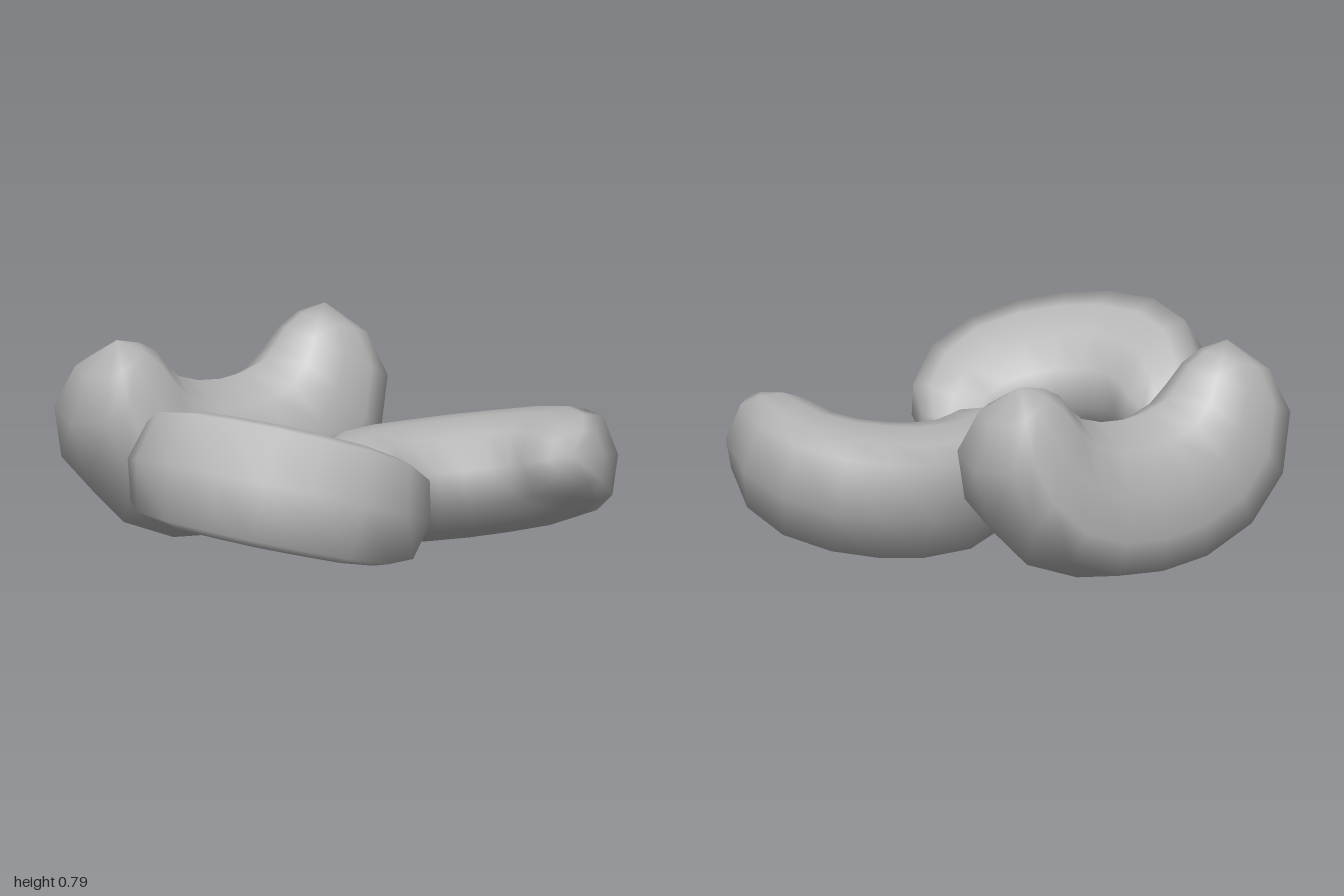
import * as THREE from 'three';

// Half of the bean, middle to tip: outer edge (u, v), inner edge (u, v), half thickness
const HALF = [
  [0.00, 0.00, 0.00, 0.58, 0.265],
  [0.21, 0.02, 0.10, 0.59, 0.262],
  [0.43, 0.11, 0.19, 0.62, 0.255],
  [0.595, 0.28, 0.24, 0.67, 0.235],
  [0.663, 0.51, 0.29, 0.73, 0.185],
  [0.60, 0.68, 0.36, 0.77, 0.115],
];
const TIP = [0.46, 0.795];

// Cross-section: blunt ridge on the outer rim, full shoulders, taper to the inside
const SECTION = [[1, 0], [0.76, 0.92], [0.32, 1], [-0.25, 0.9], [-0.75, 0.58], [-1, 0]];
const RING = [...SECTION, ...SECTION.slice(1, -1).reverse().map(([c, s]) => [c, -s])];
const SIDES = RING.length;

// Curved kernel lofted through the stations, closed by a point at each tip
function beanGeometry() {
  const mirrored = HALF.slice(1).reverse().map(([a, b, c, d, t]) => [-a, b, -c, d, t]);
  const stations = [...mirrored, ...HALF];
  const pos = [];
  const index = [];
  for (const [ou, ov, iu, iv, t] of stations) {
    const cu = (ou + iu) / 2, cv = (ov + iv) / 2;
    for (const [c, s] of RING) pos.push(cu + (ou - cu) * c, cv + (ov - cv) * c, t * s);
  }
  const first = stations.length * SIDES;
  const last = first + 1;
  pos.push(-TIP[0], TIP[1], 0, TIP[0], TIP[1], 0);

  const end = (stations.length - 1) * SIDES;
  for (let j = 0; j < SIDES; j++) {
    const n = (j + 1) % SIDES;
    for (let k = 0; k < stations.length - 1; k++) {
      const a = k * SIDES + j, c = k * SIDES + n;
      index.push(a, a + SIDES, c, a + SIDES, c + SIDES, c);
    }
    index.push(j, n, first);
    index.push(end + j, last, end + n);
  }
  const g = new THREE.BufferGeometry();
  g.setAttribute('position', new THREE.Float32BufferAttribute(pos, 3));
  g.setIndex(index);
  return g;
}

// Each nut: long axis, direction from rim to tips, width in x, centre of its bounds
const NUTS = [
  { name: 'standingNut', along: [0.866, 0, -0.5], tips: [0, 1, 0], width: 1.23, centre: [-0.385, 0.40, -0.405] },
  { name: 'frontNut', along: [0.95, -0.16, 0.27], tips: [0.25, -0.31, -0.93], width: 1.065, centre: [-0.25, 0.43, 0.48] },
  { name: 'sideNut', along: [0.99, 0.10, 0.03], tips: [0, 0.31, 0.95], width: 1.11, centre: [0.445, 0.285, -0.03] },
];

export function createModel() {
  const group = new THREE.Group();
  group.name = 'nuts';
  const grey = new THREE.MeshStandardMaterial({ color: 0xb4b4b4 });
  grey.name = 'light grey';

  for (const { name, along, tips, width, centre } of NUTS) {
    const u = new THREE.Vector3(...along).normalize();
    const w = u.clone().cross(new THREE.Vector3(...tips)).normalize();
    const v = w.clone().cross(u);
    const g = beanGeometry();
    g.applyMatrix4(new THREE.Matrix4().makeBasis(u, v, w));
    g.computeBoundingBox();
    const s = width / (g.boundingBox.max.x - g.boundingBox.min.x);
    g.center();
    g.scale(s, s, s);
    g.computeVertexNormals();
    const mesh = new THREE.Mesh(g, grey);
    mesh.name = name;
    mesh.position.set(...centre);
    group.add(mesh);
  }
  return group;
}
